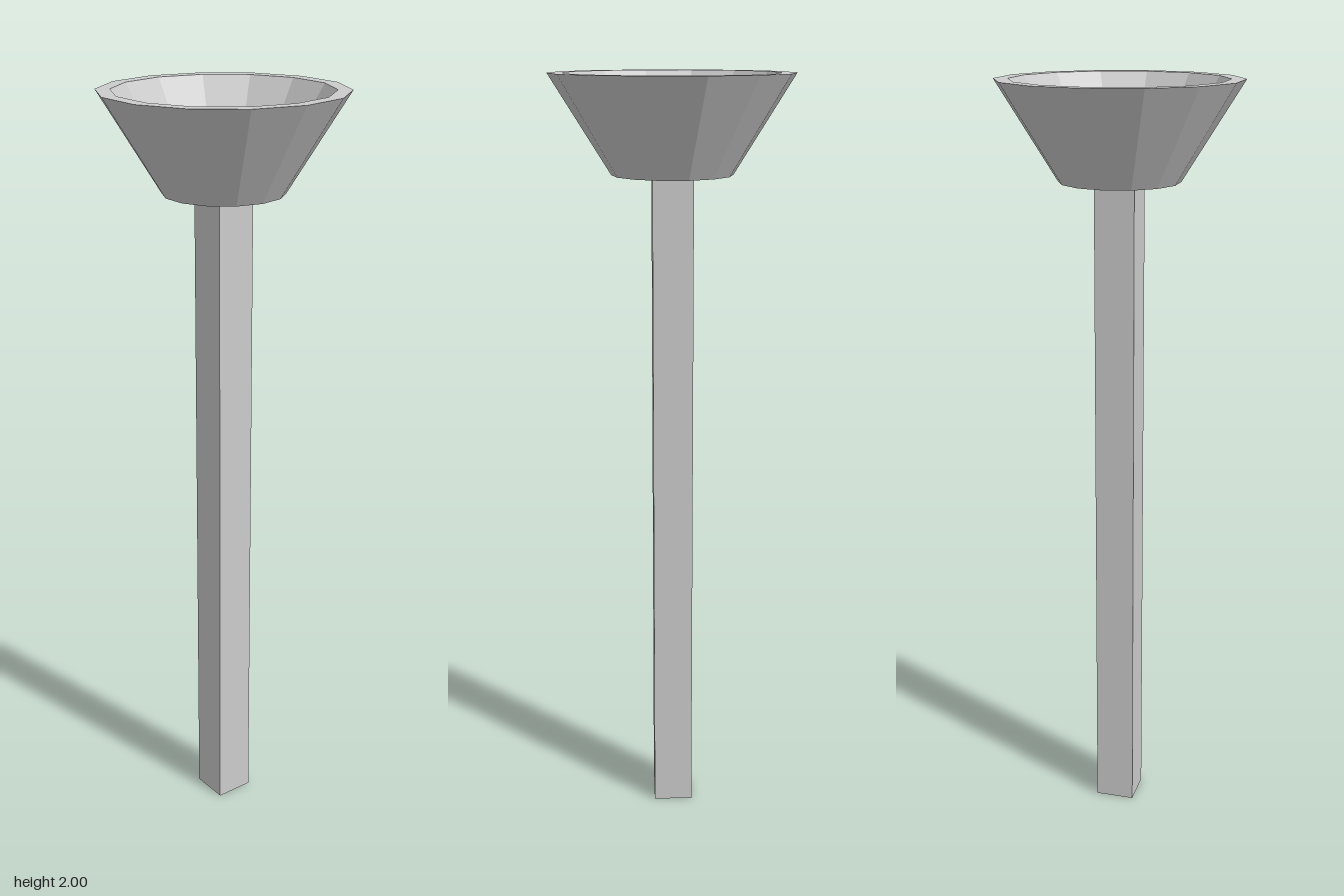
import * as THREE from 'three';

export function createModel() {
  const model = new THREE.Group();
  const grey = new THREE.MeshStandardMaterial({ color: 0xcccccc, flatShading: true });
  grey.name = 'grey';

  // Square post
  const post = new THREE.Mesh(new THREE.BoxGeometry(0.104, 1.75, 0.104), grey);
  post.name = 'post';
  post.position.y = 0.875;
  model.add(post);

  // Fourteen-sided hollow bowl: underside, outer wall, rim, inner wall, floor
  const profile = [
    [0, 1.75], [0.155, 1.75], [0.312, 2], [0.275, 2], [0.141, 1.78], [0, 1.78],
  ].map(([r, y]) => new THREE.Vector2(r, y));
  const bowl = new THREE.Mesh(new THREE.LatheGeometry(profile, 14, Math.PI / 2), grey);
  bowl.name = 'bowl';
  model.add(bowl);

  return model;
}
